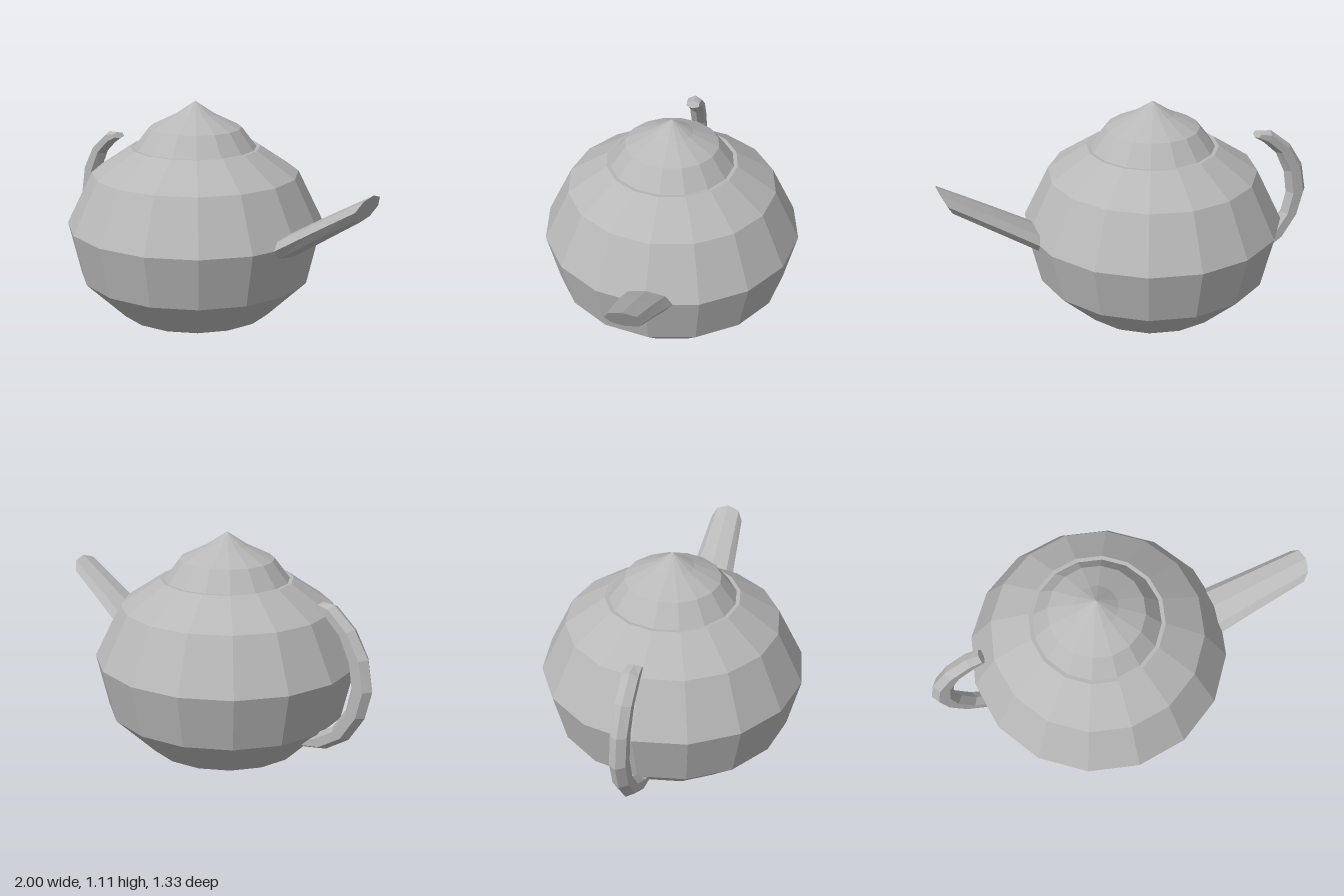
import * as THREE from 'three';

const BODY_X = -0.105;

// Faceted mesh: every face gets its own normals
function facetedMesh(name, geometry, material) {
  const flat = geometry.index ? geometry.toNonIndexed() : geometry;
  flat.computeVertexNormals();
  const mesh = new THREE.Mesh(flat, material);
  mesh.name = name;
  return mesh;
}

function lathe(name, profile, material) {
  const points = profile.map(([r, y]) => new THREE.Vector2(r, y));
  const mesh = facetedMesh(name, new THREE.LatheGeometry(points, 16), material);
  mesh.position.x = BODY_X;
  return mesh;
}

// Capped tube through sections [outerX, outerY, innerX, innerY, halfDepth]
function sectionTube(sections, sides) {
  const positions = [];
  const index = [];
  for (const [ox, oy, ix, iy, depth] of sections) {
    for (let i = 0; i < sides; i++) {
      const a = (i / sides) * Math.PI * 2;
      const k = (1 + Math.cos(a)) / 2;
      positions.push(ix + (ox - ix) * k, iy + (oy - iy) * k, Math.sin(a) * depth);
    }
  }
  const last = (sections.length - 1) * sides;
  for (let s = 0; s < last; s += sides) {
    for (let i = 0; i < sides; i++) {
      const j = (i + 1) % sides;
      index.push(s + i, s + j, s + sides + i);
      index.push(s + j, s + sides + j, s + sides + i);
    }
  }
  for (let i = 1; i < sides - 1; i++) {
    index.push(0, i + 1, i);
    index.push(last, last + i, last + i + 1);
  }
  const geometry = new THREE.BufferGeometry();
  geometry.setAttribute('position', new THREE.Float32BufferAttribute(positions, 3));
  geometry.setIndex(index);
  return geometry;
}

export function createModel() {
  const group = new THREE.Group();
  group.name = 'teapot';
  const grey = new THREE.MeshStandardMaterial({ color: 0xb8b8b8 });
  grey.name = 'grey ceramic';

  // Round pot with a flat base and a narrow rim
  group.add(lathe('body', [
    [0, 0], [0.4, 0], [0.605, 0.2], [0.667, 0.47],
    [0.535, 0.737], [0.335, 0.87], [0.315, 0.868],
  ], grey));

  // Domed lid rising to a point
  group.add(lathe('lid', [
    [0.317, 0.866], [0.237, 0.97], [0.105, 1.035], [0, 1.105],
  ], grey));

  // Tapering spout with a slanted tip
  group.add(facetedMesh('spout', sectionTube([
    [0.42, 0.465, 0.42, 0.335, 0.135],
    [0.54, 0.535, 0.54, 0.41, 0.13],
    [0.74, 0.655, 0.74, 0.54, 0.11],
    [1, 0.805, 0.93, 0.665, 0.09],
  ], 8), grey));

  // Curved handle, from its foot in the pot to its free upper end
  group.add(facetedMesh('handle', sectionTube([
    [-0.58, 0.1, -0.57, 0.18, 0.045],
    [-0.75, 0.135, -0.69, 0.2, 0.045],
    [-0.88, 0.22, -0.79, 0.265, 0.045],
    [-0.965, 0.35, -0.86, 0.37, 0.045],
    [-1, 0.49, -0.885, 0.485, 0.045],
    [-0.97, 0.64, -0.865, 0.61, 0.045],
    [-0.89, 0.765, -0.81, 0.725, 0.045],
    [-0.77, 0.86, -0.735, 0.795, 0.045],
    [-0.705, 0.862, -0.68, 0.83, 0.04],
  ], 6), grey));

  return group;
}
